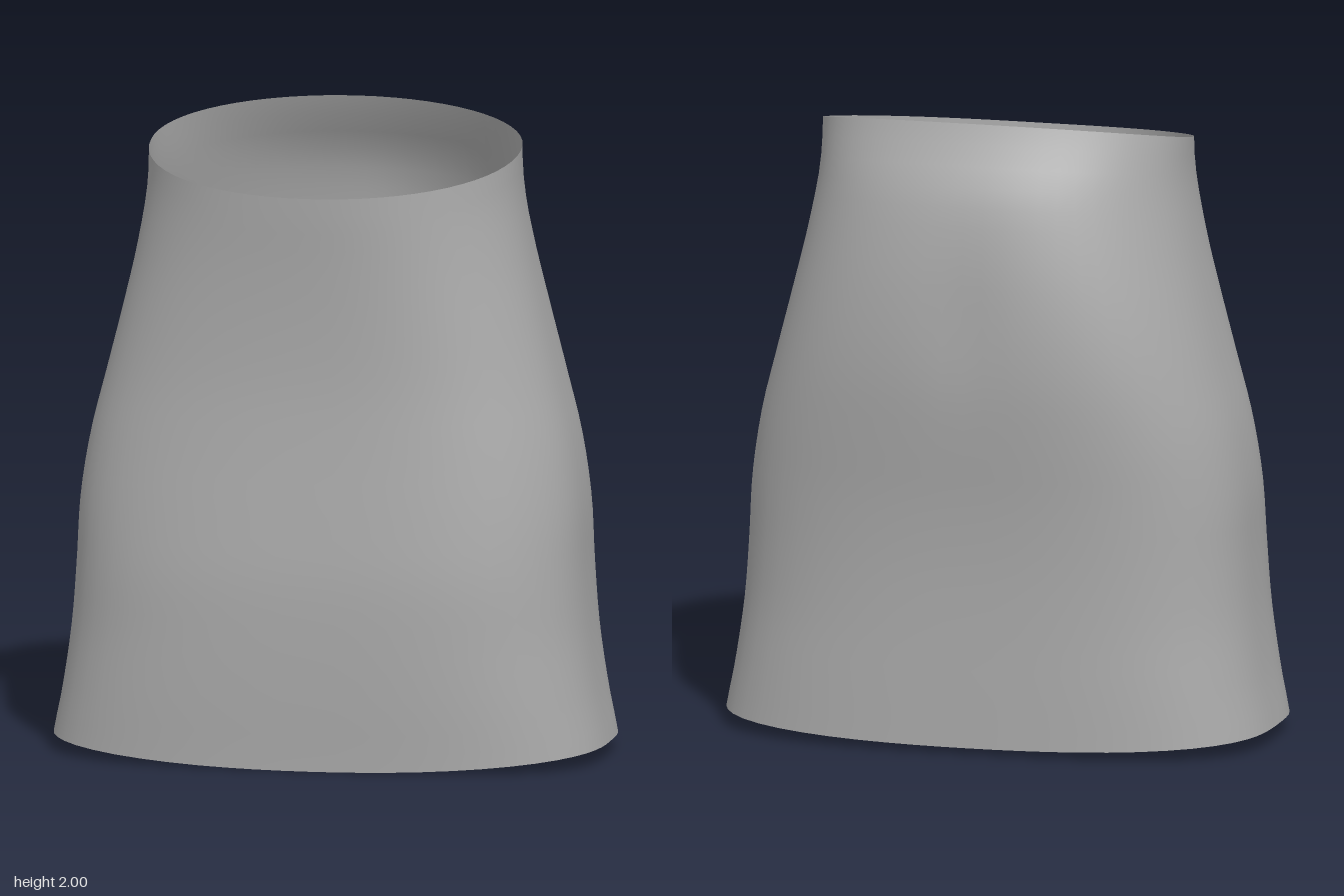
import * as THREE from 'three';

// Body profiles sampled every 0.2 units of height, smoothly interpolated
function profile(values) {
  const curve = new THREE.SplineCurve(values.map((v, i) => new THREE.Vector2(i, v)));
  return (y) => curve.getPoint(THREE.MathUtils.clamp(y / 2, 0, 1)).y;
}
const halfWidth = profile([0.885, 0.848, 0.82, 0.805, 0.795, 0.765, 0.715, 0.665, 0.62, 0.59, 0.59]);
const frontDepth = profile([0.5, 0.51, 0.517, 0.518, 0.505, 0.49, 0.48, 0.483, 0.495, 0.513, 0.52]);
const backDepth = profile([0.45, 0.45, 0.45, 0.455, 0.47, 0.495, 0.517, 0.522, 0.508, 0.465, 0.365]);
const squareness = profile([3.1, 3.1, 3.0, 2.95, 2.85, 2.75, 2.65, 2.5, 2.3, 2.1, 2]);

const CENTRE_Z = 0.03;

// Radius factor that turns a circle into a rounded oblong
function oblong(c, s, n) {
  return Math.pow(Math.abs(c) ** n + Math.abs(s) ** n, -1 / n);
}

// Point on the cloth: angle around the body, v from hem (0) to waist (1)
function clothPoint(angle, v) {
  const c = Math.cos(angle);
  const s = Math.sin(angle);
  // The hem rises at the sides; the waist tilts down towards the front
  const side = (c * oblong(c, s, 3.1)) ** 2;
  const low = s > 0 ? 0 : 0.02;
  const hem = low + (0.05 - low) * side;
  const waist = 1.91 - 0.09 * s;
  const y = THREE.MathUtils.lerp(hem, waist, v);

  const r = oblong(c, s, squareness(y));
  const x = halfWidth(y) * c * r;
  let z = s > 0
    ? CENTRE_Z + (frontDepth(y) - CENTRE_Z) * s * r
    : CENTRE_Z + (backDepth(y) + CENTRE_Z) * s * r;
  // Shallow hollow down the middle of the seat
  if (s < 0) z += 0.015 * Math.exp(-((x / 0.12) ** 2) - ((y - 1.4) / 0.25) ** 2);
  return [x, y, z];
}

function clothGeometry(around, rows) {
  const positions = [];
  const index = [];
  for (let j = 0; j <= rows; j++) {
    for (let i = 0; i < around; i++) {
      positions.push(...clothPoint((i / around) * Math.PI * 2, j / rows));
      if (j === rows) continue;
      const a = j * around + i;
      const b = j * around + ((i + 1) % around);
      index.push(a, a + around, b, b, a + around, b + around);
    }
  }
  const geometry = new THREE.BufferGeometry();
  geometry.setAttribute('position', new THREE.Float32BufferAttribute(positions, 3));
  geometry.setIndex(index);
  geometry.computeVertexNormals();
  return geometry;
}

export function createModel() {
  const cloth = new THREE.MeshStandardMaterial({ color: 0xaaaaaa, side: THREE.DoubleSide });
  cloth.name = 'grey cloth';

  // Open tube of cloth, with no waist or hem caps
  const skirt = new THREE.Mesh(clothGeometry(64, 32), cloth);
  skirt.name = 'skirt';

  const group = new THREE.Group();
  group.name = 'skirtModel';
  group.add(skirt);
  return group;
}
